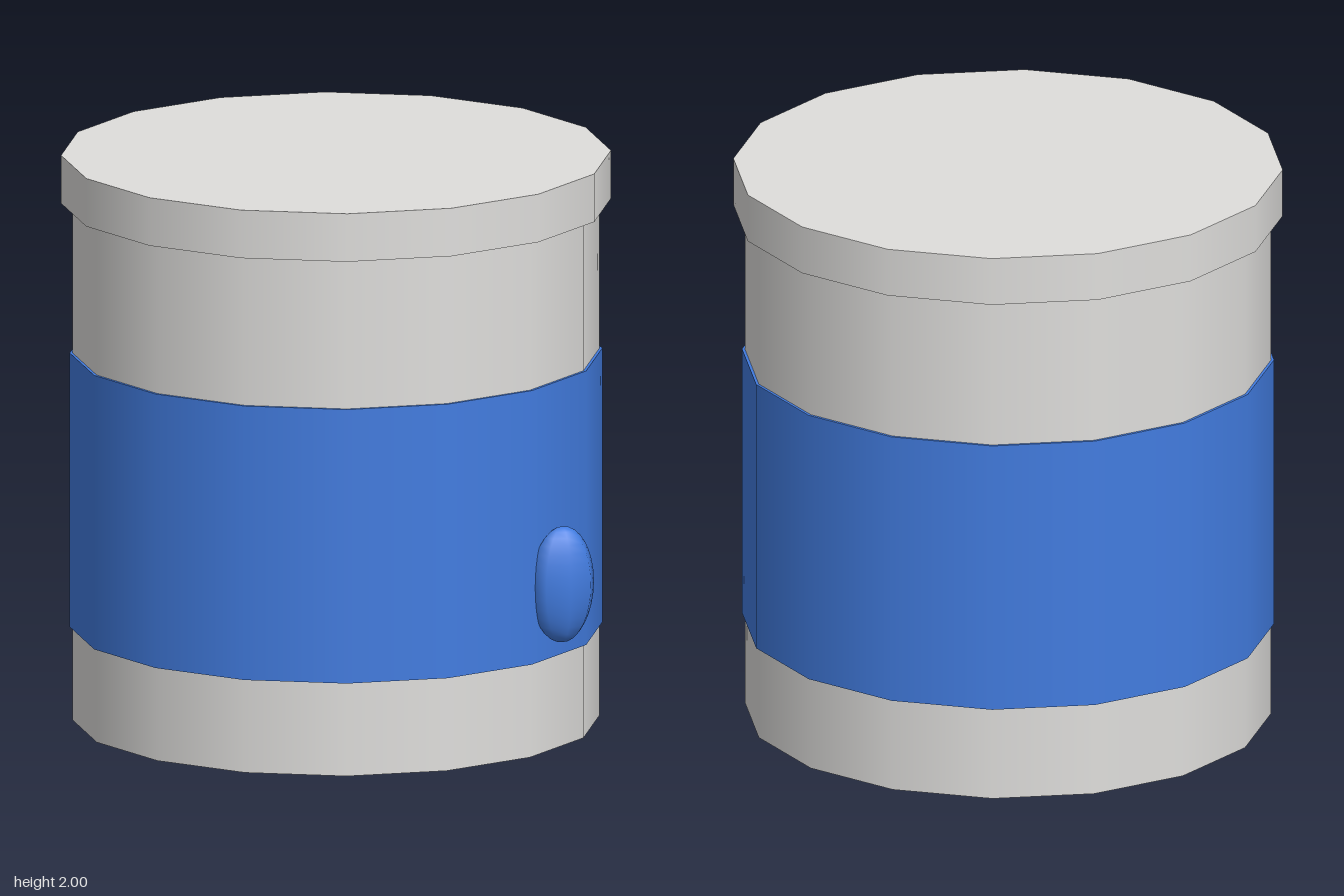
import * as THREE from 'three';

export function createModel() {
  const model = new THREE.Group();
  model.name = 'canister';

  const grey = new THREE.MeshStandardMaterial({ color: 0xdfdedc });
  grey.name = 'light grey';
  const blue = new THREE.MeshStandardMaterial({ color: 0x427ce0 });
  blue.name = 'blue';

  // Upright 16-sided drum with smooth sides, from height y0 to y1
  function drum(name, radius, y0, y1, material) {
    const mesh = new THREE.Mesh(new THREE.CylinderGeometry(radius, radius, y1 - y0, 16), material);
    mesh.name = name;
    mesh.position.y = (y0 + y1) / 2;
    model.add(mesh);
  }

  drum('body', 0.91, 0, 1.83, grey);
  drum('lid', 0.95, 1.83, 2, grey);
  drum('band', 0.92, 0.33, 1.3, blue);

  // Oval button half sunk into the band
  const button = new THREE.Mesh(new THREE.SphereGeometry(1, 8, 16), blue);
  button.name = 'button';
  button.scale.set(0.12, 0.205, 0.072);
  button.position.set(0.48, 0.597, 0.824);
  model.add(button);

  return model;
}
